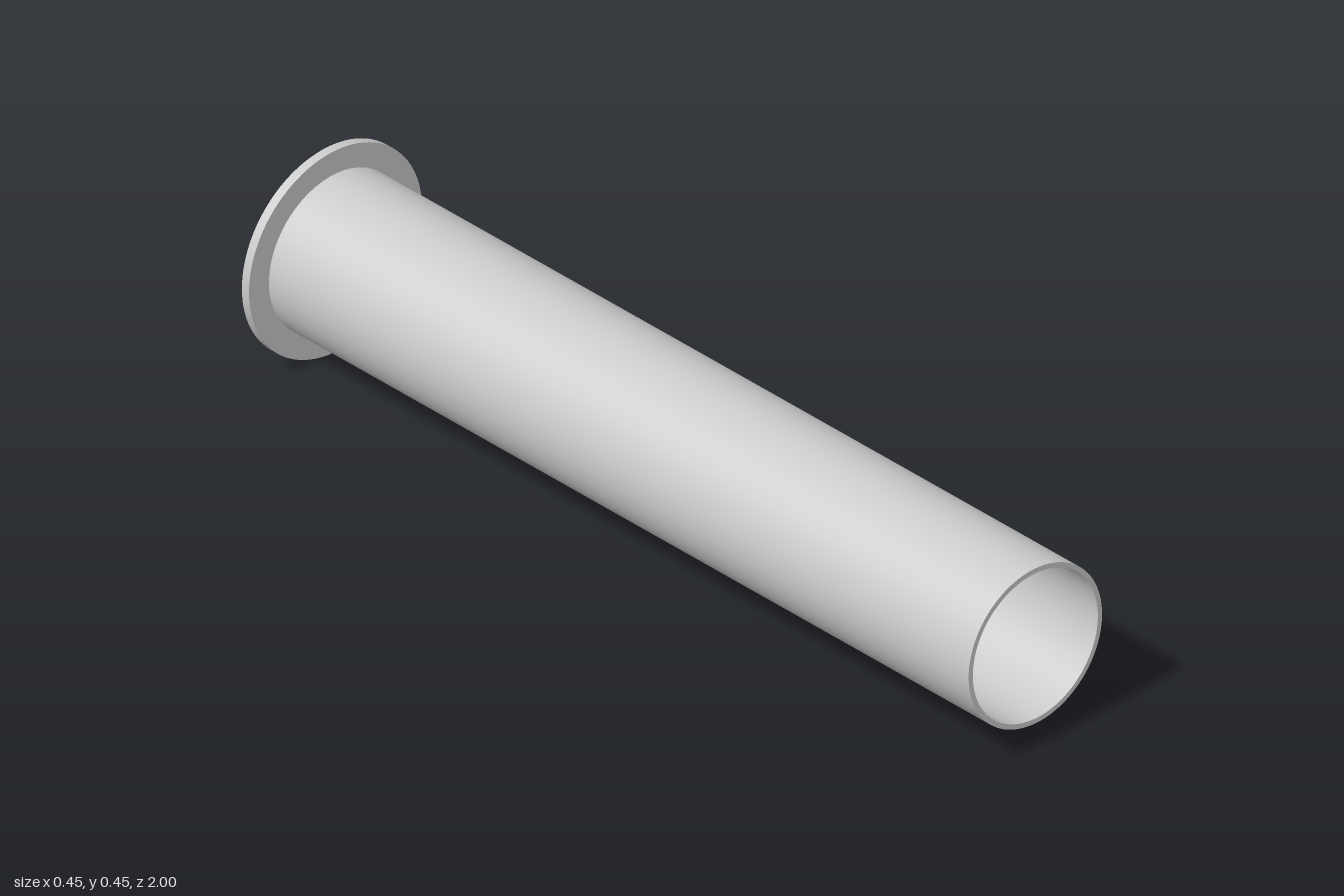
import * as THREE from 'three';
import { toCreasedNormals } from 'three/addons/utils/BufferGeometryUtils.js';

const OUTER = 0.174, BORE = 0.163, FLANGE = 0.226;
const BACK = -1, FLANGE_FRONT = -0.98, FRONT = 1;

const material = new THREE.MeshStandardMaterial({ color: 0xcccccc });

// Revolves [radius, z] points about the z axis, keeping the rims sharp
function revolve(name, points) {
  const profile = points.map(([r, z]) => new THREE.Vector2(r, z));
  const lathe = new THREE.LatheGeometry(profile, 96).rotateX(Math.PI / 2);
  const mesh = new THREE.Mesh(toCreasedNormals(lathe, Math.PI / 6), material);
  mesh.name = name;
  mesh.position.y = FLANGE;
  return mesh;
}

export function createModel() {
  const group = new THREE.Group();
  group.name = 'flangedSleeve';

  // Long thin-walled tube, open at the front
  group.add(revolve('tube', [
    [OUTER, FLANGE_FRONT], [OUTER, FRONT], [BORE, FRONT], [BORE, FLANGE_FRONT],
  ]));

  // Thin collar at the back, with the bore running through it
  group.add(revolve('flange', [
    [BORE, FLANGE_FRONT], [BORE, BACK], [FLANGE, BACK],
    [FLANGE, FLANGE_FRONT], [OUTER, FLANGE_FRONT],
  ]));

  return group;
}
